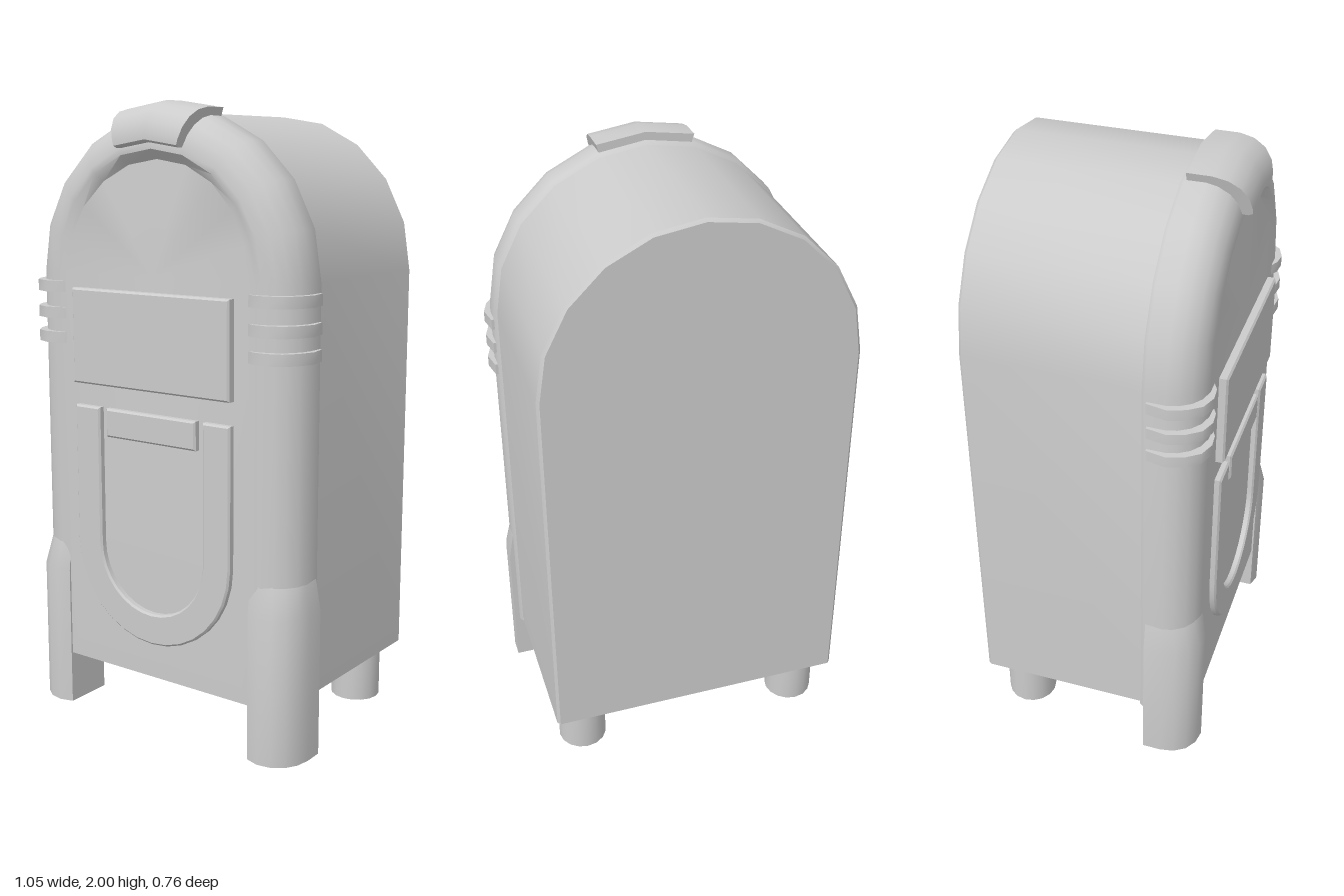
import * as THREE from 'three';
import { toCreasedNormals } from 'three/addons/utils/BufferGeometryUtils.js';

const material = new THREE.MeshStandardMaterial({ color: 0xcccccc });
const ARCH_Y = 1.47;

// Skin over closed rings of [x, y, z]; rings run counterclockwise around the loft direction.
function loft(rings, endCentre, crease = 0.7) {
  const n = rings[0].length;
  const positions = rings.flat(2);
  const index = [];
  for (let i = 0; i < rings.length - 1; i++) {
    for (let j = 0; j < n; j++) {
      const a = i * n + j, b = i * n + (j + 1) % n;
      index.push(a, b, b + n, a, b + n, a + n);
    }
  }
  const average = (ring) => [0, 1, 2].map((k) => ring.reduce((s, p) => s + p[k], 0) / n);
  const last = (rings.length - 1) * n, c0 = rings.length * n;
  positions.push(...average(rings[0]), ...(endCentre || average(rings[rings.length - 1])));
  for (let j = 0; j < n; j++) {
    const k = (j + 1) % n;
    index.push(c0, k, j, c0 + 1, last + j, last + k);
  }
  const g = new THREE.BufferGeometry();
  g.setAttribute('position', new THREE.Float32BufferAttribute(positions, 3));
  g.setIndex(index);
  return toCreasedNormals(g, crease);
}

// Arched outline: straight sides with a ten-sided half round on top.
function archRing(w, bottom, zAt) {
  const pts = [[w, bottom]];
  for (let i = 0; i <= 10; i++) {
    const a = (i * Math.PI) / 10;
    pts.push([w * Math.cos(a), ARCH_Y + w * Math.sin(a)]);
  }
  pts.push([-w, bottom]);
  return pts.map(([x, y]) => [x, y, typeof zAt === 'function' ? zAt(y) : zAt]);
}

// Horizontal section of [x, z] at height y, mirrored for the right side.
function section(pts, y, side) {
  const ring = pts.map(([x, z]) => [x * side, y, z]);
  return side < 0 ? ring.reverse() : ring;
}

function rectShape(x, y0, y1) {
  return new THREE.Shape([[-x, y0], [x, y0], [x, y1], [-x, y1]].map((p) => new THREE.Vector2(...p)));
}

// Raised plate with a fine bevel, front at zFront.
function plate(shape, zFront) {
  const bevel = 0.006;
  const g = new THREE.ExtrudeGeometry(shape, {
    depth: zFront - bevel - 0.33, bevelThickness: bevel, bevelSize: bevel,
    bevelOffset: -bevel, bevelSegments: 1, curveSegments: 8,
  });
  g.translate(0, 0, 0.33);
  return toCreasedNormals(g, 0.5);
}

export function createModel() {
  const model = new THREE.Group();
  model.name = 'jukebox';
  const add = (name, geometry) => {
    const mesh = new THREE.Mesh(geometry, material);
    mesh.name = name;
    model.add(mesh);
    return mesh;
  };

  // Cabinet behind the front
  add('cabinet', loft([[0.487, -0.38], [0.496, -0.37], [0.496, 0.2]]
    .map(([w, z]) => archRing(w, 0.19, z))));

  // Rounded front with a window that leans back inside the arch
  const lean = (y) => 0.352 - 0.09 * Math.max(0, y - ARCH_Y - 0.03);
  const front = [[0.494, 0.175], [0.505, 0.19], [0.506, 0.25], [0.497, 0.285], [0.475, 0.318],
    [0.445, 0.34], [0.405, 0.352], [0.385, 0.352]].map(([w, z]) => archRing(w, 0.175, z));
  front.push(archRing(0.355, 0.175, lean));
  add('frontFrame', loft(front, [0, ARCH_Y, 0.352]));

  // Keystone over the arch
  const keyProfile = [[0.405, 0.195], [0.405, 0.37], [0.412, 0.382], [0.43, 0.382], [0.465, 0.373],
    [0.498, 0.35], [0.52, 0.315], [0.53, 0.27], [0.53, 0.195]];
  add('keystone', loft([73, 90, 107].map((deg) => {
    const a = THREE.MathUtils.degToRad(deg);
    return keyProfile.map(([r, z]) => [r * Math.cos(a), ARCH_Y + r * Math.sin(a), z]);
  })));

  const legOuter = [[0.365, 0.358], [0.41, 0.371], [0.455, 0.363], [0.492, 0.338], [0.515, 0.3],
    [0.523, 0.255], [0.523, 0.195], [0.365, 0.195]];
  const legTop = [[0.365, 0.345], [0.40, 0.351], [0.443, 0.34], [0.474, 0.317], [0.496, 0.284],
    [0.505, 0.25], [0.505, 0.195], [0.365, 0.195]];
  const ribOutline = [[0.345, 0.345], [0.385, 0.366], [0.43, 0.37], [0.478, 0.352], [0.508, 0.312],
    [0.526, 0.258], [0.514, 0.195], [0.345, 0.195]];

  for (const side of [1, -1]) {
    const label = side > 0 ? 'left' : 'right';
    // Front legs flare out from the pillars
    add(label + 'FrontLeg', loft([[legOuter, 0], [legOuter, 0.47], [legTop, 0.57]]
      .map(([pts, y]) => section(pts, y, side))));
    // Trim bands round the pillars
    for (const y of [1.24, 1.32, 1.405]) {
      add(label + 'TrimBand', loft([y, y + 0.036].map((h) => section(ribOutline, h, side))));
    }
    // Round back legs
    const foot = toCreasedNormals(new THREE.CylinderGeometry(0.082, 0.082, 0.19, 16), 0.7);
    add(label + 'BackLeg', foot).position.set(side * 0.388, 0.11, -0.263);
  }

  // Title display
  add('display', plate(rectShape(0.308, 1.12, 1.425), 0.38));

  // U-shaped grille surround and the selector plate between its arms
  const u = new THREE.Shape();
  u.moveTo(-0.307, 1.047);
  u.lineTo(-0.307, 0.602);
  u.absarc(0, 0.602, 0.307, Math.PI, Math.PI * 2, false);
  u.lineTo(0.307, 1.047);
  u.lineTo(0.205, 1.047);
  u.lineTo(0.205, 0.602);
  u.absarc(0, 0.602, 0.205, Math.PI * 2, Math.PI, true);
  u.lineTo(-0.205, 1.047);
  add('grilleSurround', plate(u, 0.374));
  add('selectorPlate', plate(rectShape(0.178, 0.955, 1.047), 0.374));

  return model;
}
